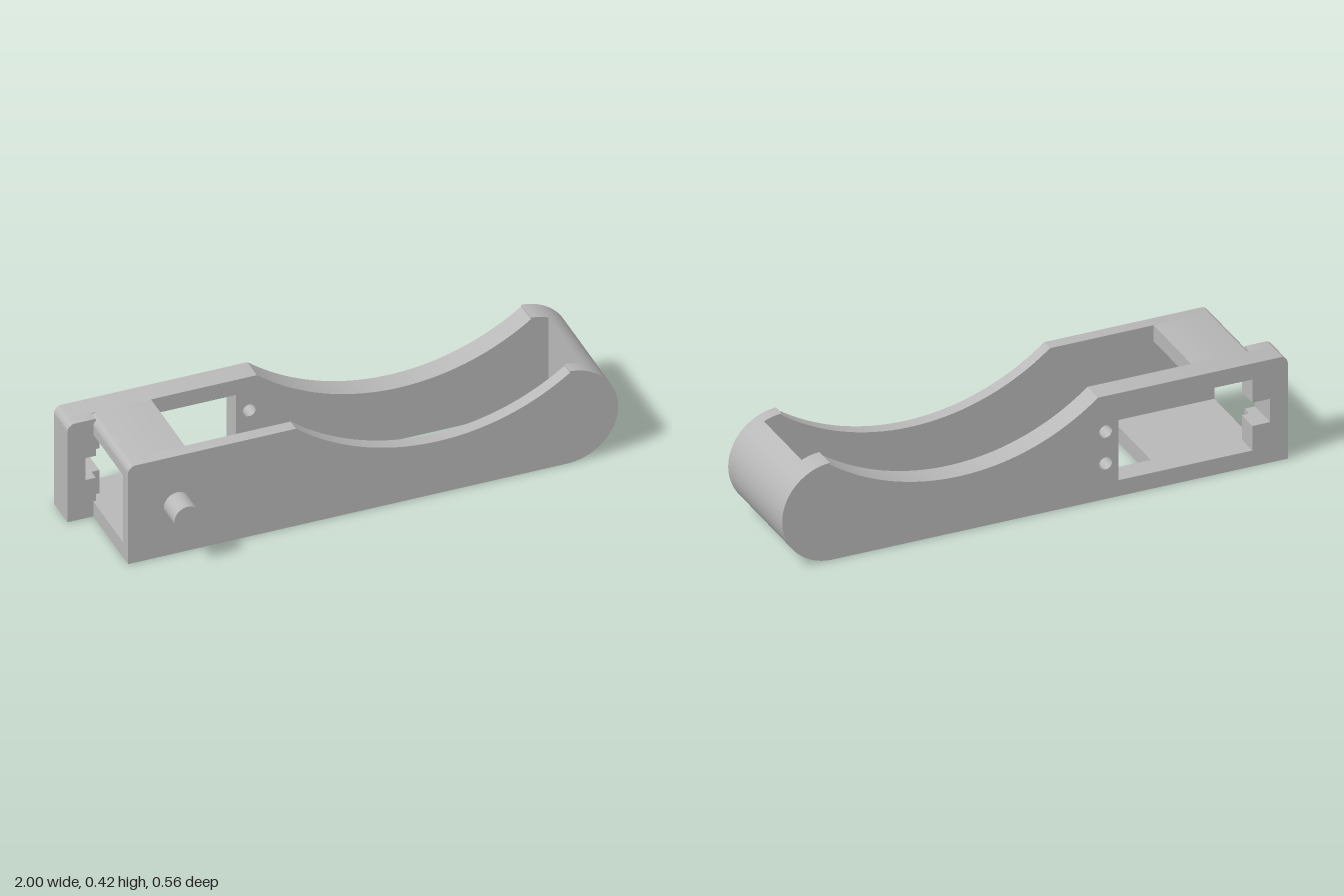
import * as THREE from 'three';
import { toCreasedNormals } from 'three/addons/utils/BufferGeometryUtils.js';

const TOP = 0.42, CORNER = 0.03;
const END = { x: 0.8, y: 0.1985, r: 0.1985 };   // rounded nose
const DIP = { x: 0.3, y: 1.098, r: 0.873 };     // scooped upper edge
const IN_BACK = -0.19, IN_FRONT = 0.13;         // cavity limits in z
const FLOOR = 0.065, ROOF = 0.355;              // cavity limits in y

// Side outline of the body, starting at x0 on the left
function bodyOutline(x0) {
  const s = new THREE.Shape();
  s.moveTo(x0, 0);
  s.lineTo(END.x, 0);
  s.absarc(END.x, END.y, END.r, -Math.PI / 2, Math.PI / 2 - 0.05, false);
  s.absarc(DIP.x, DIP.y, DIP.r, Math.atan2(0.393 - DIP.y, 0.51), Math.atan2(TOP - DIP.y, -0.55), true);
  s.lineTo(x0 + CORNER, TOP);
  s.absarc(x0 + CORNER, TOP - CORNER, CORNER, Math.PI / 2, Math.PI, false);
  s.closePath();
  return s;
}

// Polygon from [x, y] pairs
function polygon(points, Kind = THREE.Shape) {
  return new Kind(points.map(([x, y]) => new THREE.Vector2(x, y)));
}

function circleHole(x, y, r) {
  const p = new THREE.Path();
  p.absarc(x, y, r, 0, Math.PI * 2, true);
  return p;
}

export function createModel() {
  const group = new THREE.Group();
  const grey = new THREE.MeshStandardMaterial({ color: 0xb8b8b8 });
  grey.name = 'plain grey';

  function add(name, geometry) {
    const mesh = new THREE.Mesh(geometry, grey);
    mesh.name = name;
    group.add(mesh);
    return mesh;
  }
  function slab(name, shape, z0, z1) {
    const g = new THREE.ExtrudeGeometry(shape, { depth: z1 - z0, bevelEnabled: false, curveSegments: 36 });
    g.translate(0, 0, z0);
    return add(name, toCreasedNormals(g, 0.5));
  }

  // Side walls; the back one has a notched window and two screw holes
  slab('frontWall', bodyOutline(-0.9), IN_FRONT, 0.18);
  const back = bodyOutline(-1);
  back.holes.push(
    polygon([
      [-0.33, FLOOR], [-0.33, ROOF], [-0.86, ROOF], [-0.86, 0.26],
      [-0.93, 0.26], [-0.93, 0.165], [-0.86, 0.165], [-0.86, FLOOR],
    ], THREE.Path),
    circleHole(-0.28, 0.145, 0.025),
    circleHole(-0.28, 0.275, 0.025),
  );
  slab('backWall', back, -0.28, IN_BACK);

  // Rounded nose closing the right end of the cavity
  const a = Math.acos((0.88 - END.x) / END.r);
  const nose = new THREE.Shape();
  nose.absarc(END.x, END.y, END.r, -a, a, false);
  nose.closePath();
  slab('noseWall', nose, IN_BACK, IN_FRONT);

  // Roof and floor of the open-ended left box
  const roof = new THREE.Shape();
  roof.moveTo(-0.9, ROOF);
  roof.lineTo(-0.66, ROOF);
  roof.lineTo(-0.66, TOP);
  roof.lineTo(-0.9 + CORNER, TOP);
  roof.absarc(-0.9 + CORNER, TOP - CORNER, CORNER, Math.PI / 2, Math.PI, false);
  roof.closePath();
  slab('roof', roof, IN_BACK, IN_FRONT);
  slab('floor', polygon([[-0.9, 0], [-0.5, 0], [-0.5, FLOOR], [-0.9, FLOOR]]), IN_BACK, IN_FRONT);

  // Thickened flange beside the left opening, notched in line with the window
  const flange = new THREE.Shape();
  flange.moveTo(-1, 0);
  for (const [x, y] of [[-0.89, 0], [-0.89, 0.165], [-0.93, 0.165], [-0.93, 0.26], [-0.89, 0.26], [-0.89, TOP]]) flange.lineTo(x, y);
  flange.lineTo(-1 + CORNER, TOP);
  flange.absarc(-1 + CORNER, TOP - CORNER, CORNER, Math.PI / 2, Math.PI, false);
  flange.closePath();
  slab('flange', flange, IN_BACK, -0.15);

  // Pivot peg on the front wall
  const peg = add('pivotPeg', new THREE.CylinderGeometry(0.051, 0.051, 0.1, 40));
  peg.rotation.x = Math.PI / 2;
  peg.position.set(-0.71, 0.2115, 0.23);

  return group;
}
